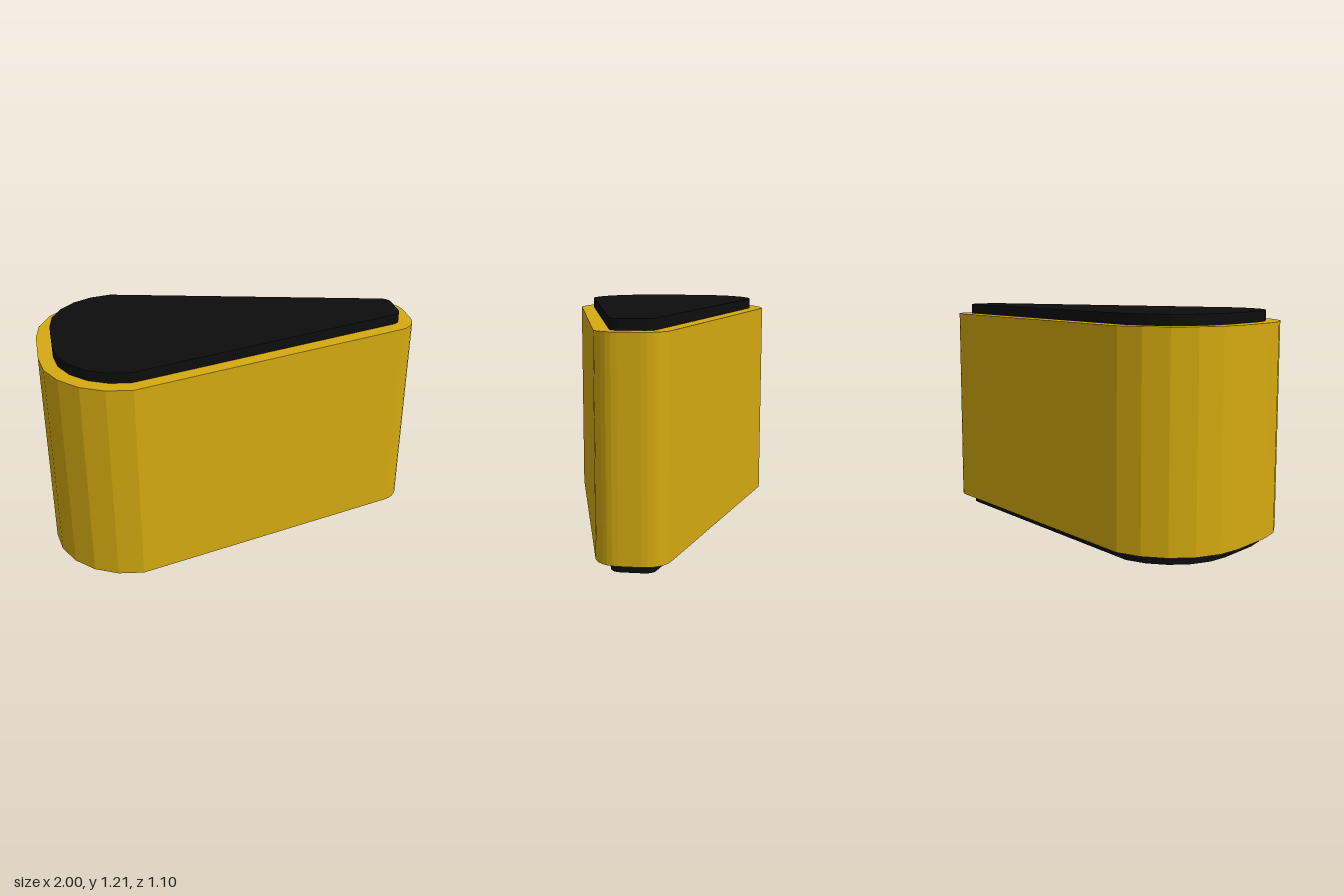
import * as THREE from 'three';

const gold = new THREE.MeshStandardMaterial({ name: 'gold', color: 0xd4aa10 });
const black = new THREE.MeshStandardMaterial({ name: 'black', color: 0x0d0d0d });

// Tapered outline with a broad faceted end and a narrow rounded end, shrunk by inset
function outline(inset) {
  const half = [];
  const arc = (cx, cy, r, from, to, steps) => {
    for (let i = 0; i <= steps; i++) {
      const a = THREE.MathUtils.degToRad(from + ((to - from) * i) / steps);
      half.push(new THREE.Vector2(cx + r * Math.cos(a), cy + r * Math.sin(a)));
    }
  };
  arc(0.87, 0.056, 0.13 - inset, 0, 76, 6); // narrow end
  arc(-0.572, 0.122, 0.428 - inset, 90, 180, 5); // broad end
  const mirrored = half.map((p) => new THREE.Vector2(p.x, -p.y)).reverse();
  return new THREE.Shape([...half, ...mirrored]);
}

// Upright slab of the outline between two heights
function slab(name, inset, bottom, top, material) {
  const geometry = new THREE.ExtrudeGeometry(outline(inset), { depth: top - bottom, bevelEnabled: false });
  geometry.rotateX(-Math.PI / 2);
  geometry.translate(0, bottom, 0);
  const mesh = new THREE.Mesh(geometry, material);
  mesh.name = name;
  return mesh;
}

export function createModel() {
  const group = new THREE.Group();
  group.name = 'taperedBlock';
  group.add(
    slab('body', 0, 0.055, 1.155, gold),
    slab('bottomPad', 0.075, 0, 0.055, black),
    slab('topPad', 0.075, 1.155, 1.21, black),
  );
  return group;
}
